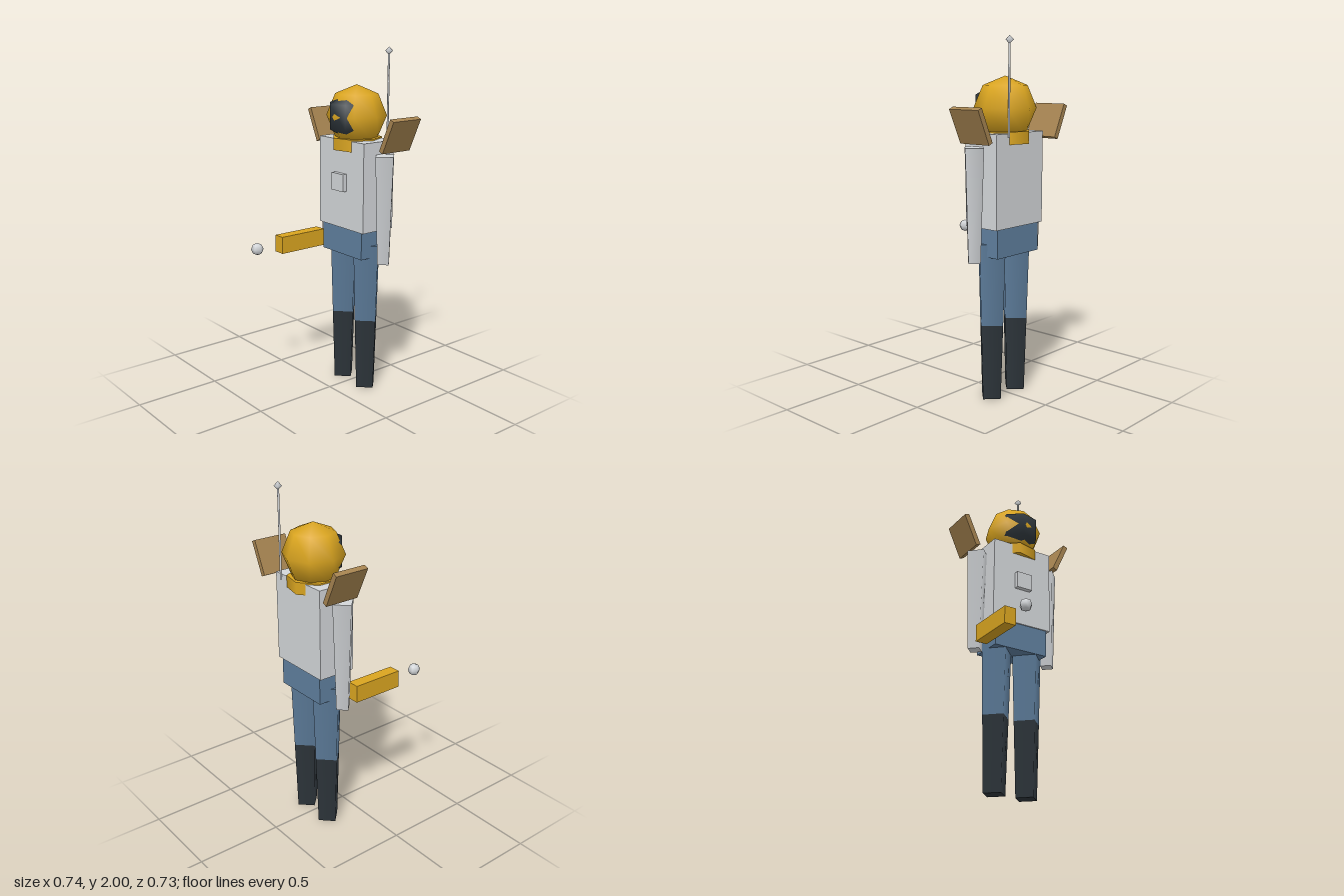
import * as THREE from 'three';

const mat = (name, color) => {
  const m = new THREE.MeshStandardMaterial({ color });
  m.name = name;
  return m;
};

export function createModel() {
  const gold = mat('gold', 0xdaa520);
  const silver = mat('silver', 0xd3d6d9);
  const denim = mat('denim blue', 0x5f7f9e);
  const dark = mat('charcoal', 0x2f373d);
  const tan = mat('tan', 0xa58350);

  const model = new THREE.Group();
  model.name = 'astronaut';
  const Z = -0.195; // depth of the figure's centre line

  function add(name, geometry, material, x, y, z) {
    const mesh = new THREE.Mesh(geometry, material);
    mesh.name = name;
    mesh.position.set(x, y, z);
    model.add(mesh);
    return mesh;
  }
  const box = (name, m, w, h, d, x, y, z) =>
    add(name, new THREE.BoxGeometry(w, h, d), m, x, y, z);
  // Tapered four-sided limb between two heights
  const limb = (name, m, rTop, rBottom, x, y0, y1, z) =>
    add(name, new THREE.CylinderGeometry(rTop, rBottom, y1 - y0, 4), m, x, (y0 + y1) / 2, z);

  // Body
  box('torso', silver, 0.388, 0.51, 0.222, 0, 1.235, -0.194);
  box('chestPanel', silver, 0.1, 0.1, 0.03, 0, 1.25, -0.07);
  box('pelvis', denim, 0.344, 0.16, 0.204, 0, 0.9, -0.193);

  // Helmet, visor bulging through its front, and neck ring
  add('helmet', new THREE.SphereGeometry(0.172, 8, 4), gold, 0, 1.62, Z);
  add('visor', new THREE.SphereGeometry(0.14, 7, 3), dark, 0, 1.62, -0.143).rotation.y = Math.PI;
  add('neckRing', new THREE.CylinderGeometry(0.145, 0.145, 0.068, 7), gold, 0, 1.464, Z)
    .rotation.y = Math.PI / 2;

  // Mirrored limbs and shoulder flaps
  for (const [side, s] of [['left', 1], ['right', -1]]) {
    limb(side + 'Arm', silver, 0.07, 0.046, s * 0.245, 0.8, 1.42, -0.193);
    limb(side + 'Leg', denim, 0.1, 0.085, s * 0.102, 0.43, 0.89, -0.192);
    limb(side + 'Boot', dark, 0.085, 0.07, s * 0.102, 0, 0.43, -0.192);
    box(side + 'ShoulderFlap', tan, 0.03, 0.2, 0.202, s * 0.317, 1.538, -0.235)
      .rotation.z = -s * 0.43;
  }

  // Antenna
  add('antenna', new THREE.CylinderGeometry(0.006, 0.006, 0.5, 6), silver, 0.12, 1.72, -0.325);
  add('antennaTip', new THREE.SphereGeometry(0.023, 5, 2), silver, 0.12, 1.977, -0.326)
    .rotation.y = Math.PI;

  // Blaster in the right hand and its shot
  box('blaster', gold, 0.07, 0.1, 0.306, -0.245, 0.87, 0.03);
  add('blasterShot', new THREE.SphereGeometry(0.036, 6, 4), silver, -0.245, 0.87, 0.335);

  return model;
}
